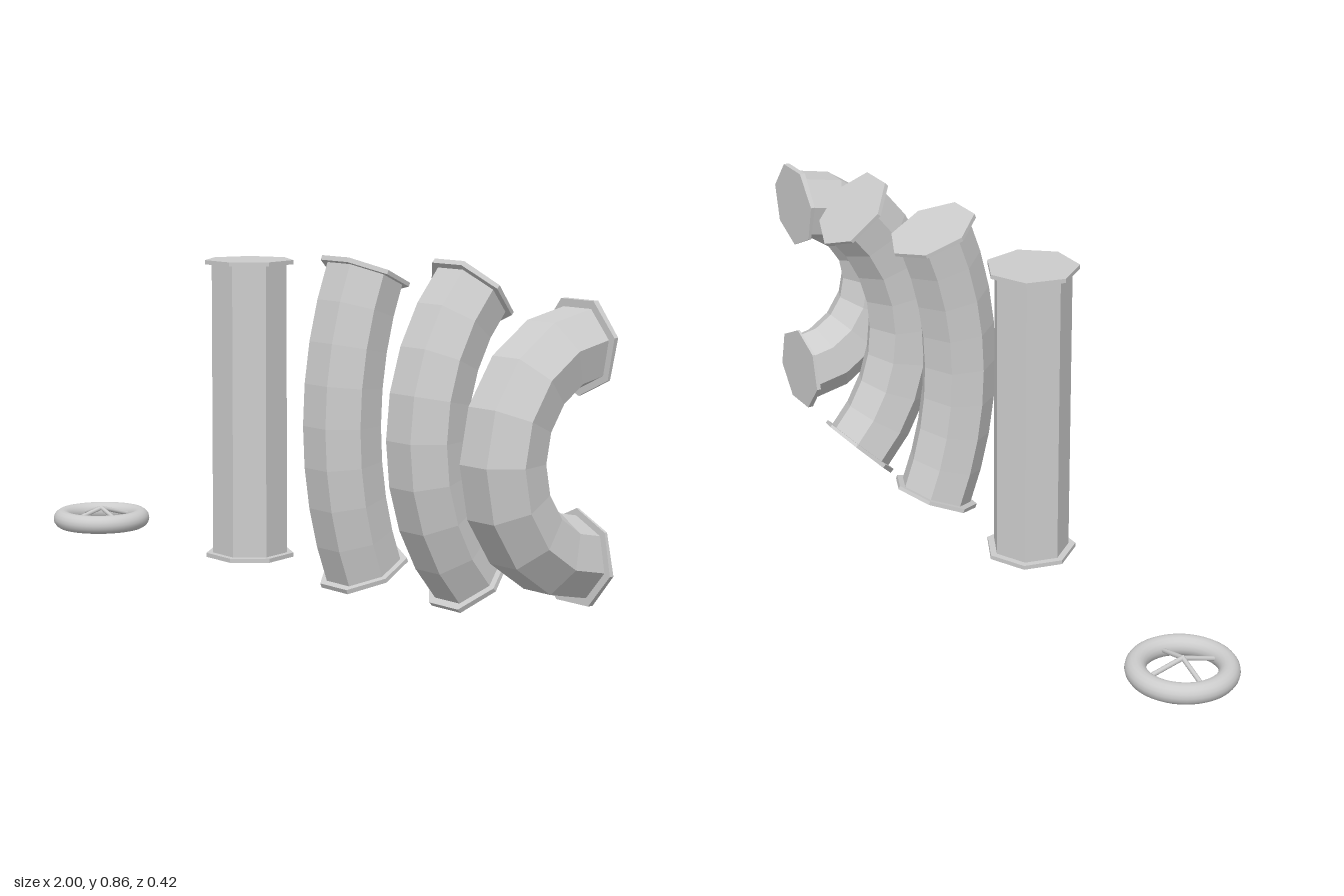
import * as THREE from 'three';

const LENGTH = Math.PI / 4; // every pipe has the same centre-line length
const PIPE_RADIUS = 0.1;
const FLANGE_RADIUS = 0.118;
const FLANGE_THICKNESS = 0.011;
const MID_Y = 0.429;

// Bends a vertical geometry backwards into an arc of the given angle, then facets it.
function bend(geometry, angle) {
  const pos = geometry.attributes.position;
  if (angle > 0) {
    const r = LENGTH / angle;
    for (let i = 0; i < pos.count; i++) {
      const a = pos.getY(i) / r;
      const d = r + pos.getZ(i);
      pos.setY(i, d * Math.sin(a));
      pos.setZ(i, d * Math.cos(a) - r);
    }
  }
  const faceted = geometry.toNonIndexed();
  faceted.computeVertexNormals();
  return faceted;
}

// Seven-sided prism with a flat side to the front and an edge to the back.
function prism(radius, height, segments) {
  return new THREE.CylinderGeometry(radius, radius, height, 7, segments, false, Math.PI);
}

function addMesh(parent, name, geometry, material) {
  const mesh = new THREE.Mesh(geometry, material);
  mesh.name = name;
  parent.add(mesh);
  return mesh;
}

function createPipe(name, angle, x, z, material) {
  const pipe = new THREE.Group();
  pipe.name = name;
  addMesh(pipe, 'pipeBody', bend(prism(PIPE_RADIUS, LENGTH - 0.004, angle > 0 ? 8 : 1), angle), material);
  for (const side of [1, -1]) {
    const flange = prism(FLANGE_RADIUS, FLANGE_THICKNESS, 1);
    flange.translate(0, side * (LENGTH - FLANGE_THICKNESS) / 2, 0);
    addMesh(pipe, side > 0 ? 'topFlange' : 'bottomFlange', bend(flange, angle), material);
  }
  pipe.position.set(x, MID_Y, z);
  return pipe;
}

// Valve wheel lying flat, with four spokes rising to the middle.
function createWheel(material) {
  const wheel = new THREE.Group();
  wheel.name = 'valveWheel';
  const rim = new THREE.TorusGeometry(0.1115, 0.026, 16, 48);
  rim.rotateX(Math.PI / 2);
  addMesh(wheel, 'rim', rim, material);
  const top = new THREE.Vector3(0, 0.029, 0);
  for (let i = 0; i < 4; i++) {
    const a = i * Math.PI / 2 + 0.06;
    const end = new THREE.Vector3(Math.cos(a) * 0.1, 0, Math.sin(a) * 0.1);
    const spoke = new THREE.TubeGeometry(new THREE.LineCurve3(end, top), 1, 0.006, 8);
    addMesh(wheel, 'spoke', spoke, material);
  }
  addMesh(wheel, 'hub', new THREE.SphereGeometry(0.0065, 10, 8), material).position.copy(top);
  wheel.position.set(-0.8635, 0.035, 0.018);
  return wheel;
}

export function createModel() {
  const model = new THREE.Group();
  model.name = 'pipeSet';
  const grey = new THREE.MeshStandardMaterial({ color: 0xcccccc });
  grey.name = 'light grey';

  model.add(createWheel(grey));
  model.add(createPipe('straightPipe', 0, -0.171, 0.017, grey));
  model.add(createPipe('slightBendPipe', Math.PI / 4, 0.203, 0.017, grey));
  model.add(createPipe('quarterBendPipe', Math.PI / 2, 0.516, 0.017, grey));
  model.add(createPipe('halfBendPipe', Math.PI, 0.884, 0.122, grey));
  return model;
}
